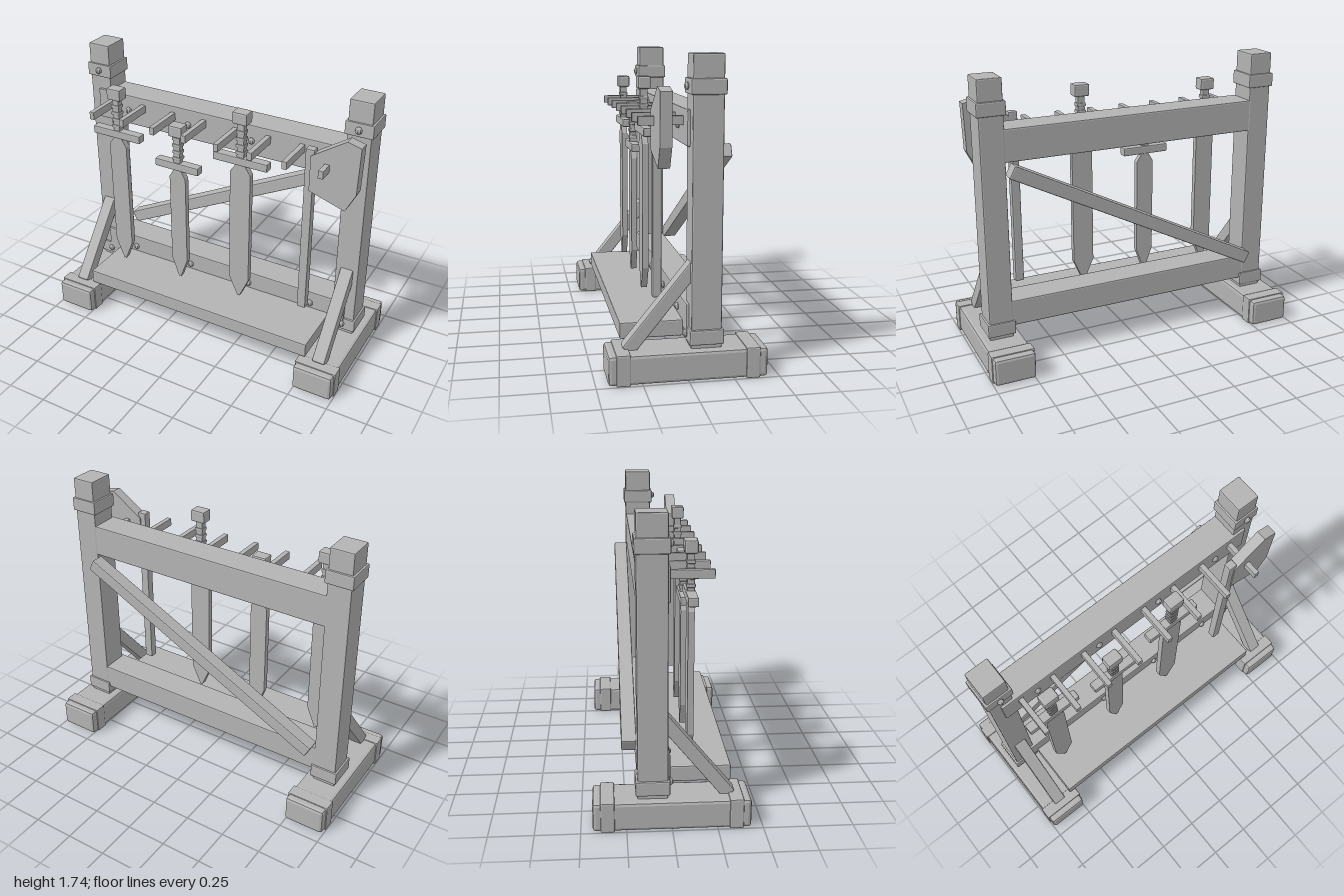
import * as THREE from 'three';
import { RoundedBoxGeometry } from 'three/addons/geometries/RoundedBoxGeometry.js';

export function createModel() {
  const grey = new THREE.MeshStandardMaterial({ color: 0xb4b4b4 });
  grey.name = 'plain grey';
  const model = new THREE.Group();
  model.name = 'weaponRack';

  function add(name, geometry, x, y, z, parent = model) {
    const mesh = new THREE.Mesh(geometry, grey);
    mesh.name = name;
    mesh.position.set(x, y, z);
    parent.add(mesh);
    return mesh;
  }

  // box with flat chamfered edges, given by its size and centre
  function block(name, w, h, d, x, y, z, bevel = 0.008, parent = model) {
    const geometry = new RoundedBoxGeometry(w, h, d, 1, bevel);
    geometry.computeVertexNormals();
    return add(name, geometry, x, y, z, parent);
  }

  // flat outline with thickness centred on its own z = 0
  function plate(points, depth) {
    const shape = new THREE.Shape(points.map(([x, y]) => new THREE.Vector2(x, y)));
    const geometry = new THREE.ExtrudeGeometry(shape, { depth, bevelEnabled: false });
    return geometry.translate(0, 0, -depth / 2);
  }

  // low domed bolt facing forward
  function bolt(x, y, z) {
    const geometry = new THREE.SphereGeometry(0.021, 8, 6).toNonIndexed();
    geometry.computeVertexNormals();
    add('bolt', geometry, x, y, z).scale.z = 0.8;
  }

  // feet, posts, collars and slanted struts on both sides
  for (const side of [-1, 1]) {
    const x = side * 0.868;
    block('foot', 0.25, 0.165, 0.87, x, 0.0845, 0, 0.018);
    for (const z of [-0.353, 0.353]) block('footBand', 0.264, 0.174, 0.078, x, 0.087, z);
    block('post', 0.146, 1.585, 0.168, x, 0.9425, -0.104);
    block('upperCollar', 0.172, 0.084, 0.19, x, 1.566, -0.104);
    block('lowerCollar', 0.172, 0.084, 0.19, x, 0.228, -0.104);
    bolt(x, 1.567, -0.003);
    bolt(x, 0.232, -0.003);
    const strut = block('strut', 0.08, 0.59, 0.076, x, 0.388, 0.135);
    strut.rotation.x = -(Math.PI / 2 - 0.888);
  }

  // horizontal beams, shelf and rear diagonal
  block('topBeam', 1.756, 0.195, 0.182, 0, 1.347, -0.095);
  block('bottomBeam', 1.756, 0.16, 0.182, 0, 0.315, -0.095);
  block('shelf', 1.565, 0.093, 0.355, 0, 0.232, 0.168);
  block('rearDiagonal', 1.766, 0.08, 0.084, 0, 0.815, -0.228).rotation.z = 0.473;

  // hanging pegs
  for (let i = 0; i < 8; i++) {
    block('peg', 0.032, 0.05, 0.26, -0.76 + i * 0.217, 1.379, 0.11, 0.004);
  }
  for (const x of [-0.652, -0.217, 0.217, 0.652]) {
    bolt(x, 1.345, 0);
    bolt(x, 0.315, 0);
  }

  // swords hanging point down; guardY is the middle of the guard
  function sword(x, pommelY, guardY, guardWidth, bladeWidth) {
    const g = new THREE.Group();
    g.name = 'sword';
    g.position.set(x, 0, 0.12);
    model.add(g);
    const gripTop = pommelY - 0.03;
    const gripLength = gripTop - guardY;
    block('pommel', 0.098, 0.075, 0.075, 0, pommelY, 0, 0.01, g);
    block('grip', 0.046, gripLength, 0.042, 0, guardY + gripLength / 2, 0, 0.004, g);
    for (let i = 0; i < 4; i++) {
      block('gripWrap', 0.058, 0.022, 0.052, 0, guardY + 0.055 + i * 0.044, 0, 0.006, g);
    }
    block('guard', guardWidth, 0.052, 0.058, 0, guardY, 0, 0.008, g);
    const top = guardY - 0.022, h = bladeWidth / 2;
    add('blade', plate([
      [-h * 0.4, top], [-h, top - 0.058], [-h, 0.44], [-0.008, 0.305],
      [0.008, 0.305], [h, 0.44], [h, top - 0.058], [h * 0.4, top],
    ].reverse(), 0.036), 0, 0, 0, g);
  }
  sword(-0.652, 1.508, 1.237, 0.345, 0.124);
  sword(-0.217, 1.363, 1.123, 0.305, 0.112);
  sword(0.217, 1.55, 1.273, 0.358, 0.134);

  // axe
  block('axeHaft', 0.056, 1.085, 0.052, 0.652, 0.922, 0.12, 0.008);
  add('axeHead', plate([
    [0.66, 1.21], [0.882, 1.139], [0.941, 1.257],
    [0.95, 1.545], [0.866, 1.567], [0.66, 1.43],
  ], 0.065), 0, 0, 0.12);

  return model;
}
